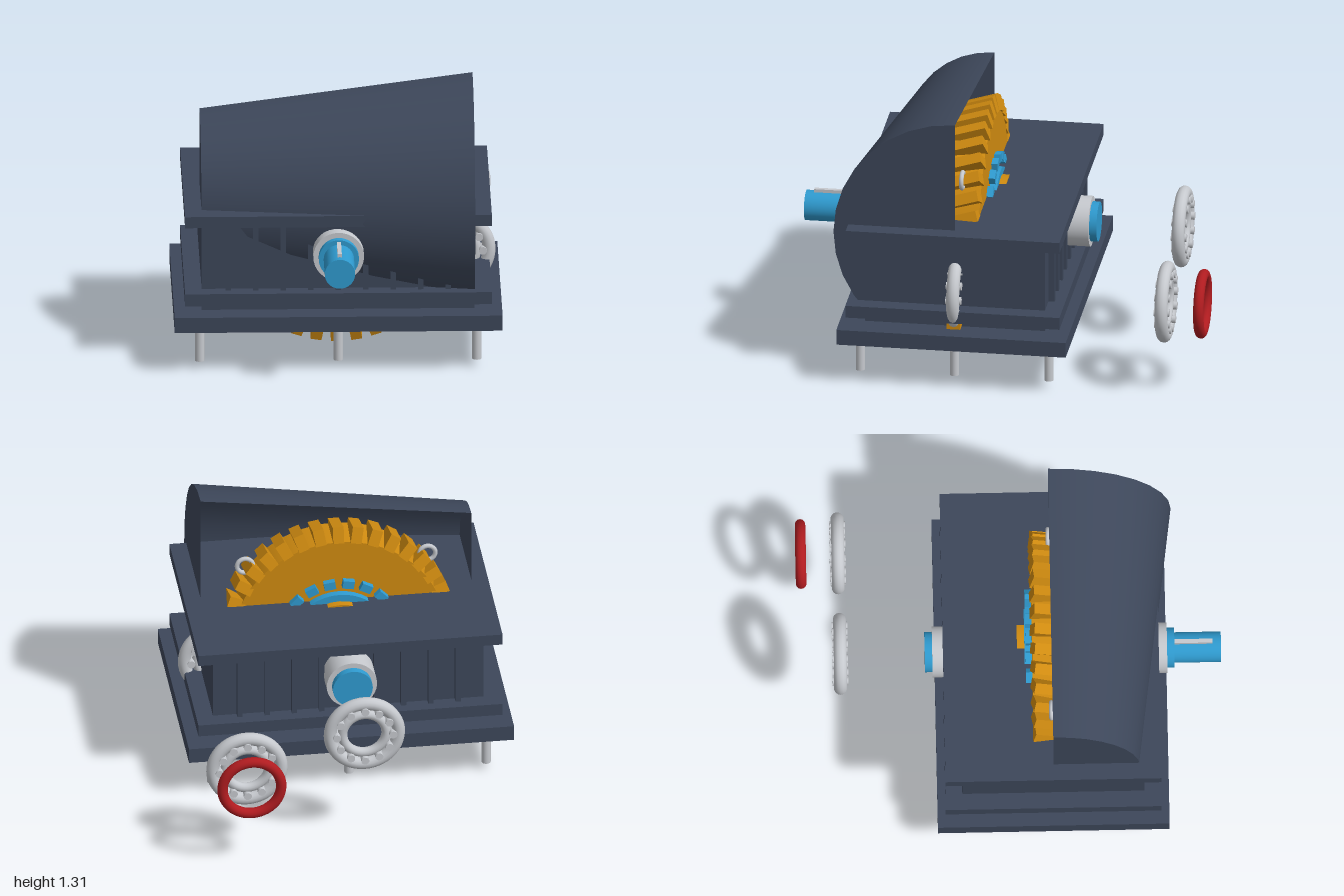
import * as THREE from 'three';

const mat = (name, color, extra = {}) => Object.assign(new THREE.MeshStandardMaterial({ color, ...extra }), { name });

export function createModel() {
  const housing = mat('slate housing', 0x3d475a, { side: THREE.DoubleSide });
  const steel = mat('bright steel', 0xc6c9ce);
  const blue = mat('blue shaft', 0x2f9bd0);
  const brass = mat('gear brass', 0xd08b10);
  const red = mat('red seal', 0xb01c20);

  const model = new THREE.Group();
  model.name = 'gearbox';
  const midZ = 0.195, shaftY = 0.58;

  const add = (name, geometry, material, x, y, z, parent = model) => {
    const mesh = new THREE.Mesh(geometry, material);
    mesh.name = name;
    mesh.position.set(x, y, z);
    parent.add(mesh);
    return mesh;
  };
  // Box given by its bottom and top heights
  const slab = (name, w, y0, y1, d, x = 0, z = midZ) =>
    add(name, new THREE.BoxGeometry(w, y1 - y0, d), housing, x, (y0 + y1) / 2, z);
  // Cylinder along z between two depths
  const rod = (name, r, z0, z1, material, x = 0, y = shaftY, parent = model, sides = 32) =>
    add(name, new THREE.CylinderGeometry(r, r, z1 - z0, sides).rotateX(Math.PI / 2), material, x, y, (z0 + z1) / 2, parent);

  // Housing
  slab('basePlate', 1.55, 0.205, 0.28, 1.095);
  slab('lowerFlange', 1.45, 0.325, 0.385, 1.02);
  slab('upperFlange', 1.45, 0.715, 0.77, 1.02);
  slab('housingBody', 1.29, 0.28, 0.715, 0.86);
  for (let i = -4; i <= 4; i++) {
    for (const side of [-1, 1]) slab('rib', 0.025, 0.305, 0.72, 0.04, i * 0.13, midZ + side * 0.44);
  }

  // Tapered half-round cover, open at the back
  add('cover', new THREE.CylinderGeometry(0.58, 0.41, 1.29, 16, 1, false, -Math.PI / 2, Math.PI)
    .rotateZ(-Math.PI / 2), housing, 0, 0.73, midZ);

  // Lifting eyes
  for (const side of [-1, 1]) {
    add('liftingEye', new THREE.TorusGeometry(0.038, 0.011, 10, 24), steel, side * 0.435, 0.94, midZ - 0.005);
  }

  // Large helical gear
  const gear = new THREE.Group();
  gear.name = 'gear';
  gear.position.set(0, shaftY, midZ);
  model.add(gear);
  rod('gearDisc', 0.505, -0.09, 0.09, brass, 0, 0, gear, 64);
  rod('gearHub', 0.2, -0.16, 0.1, brass, 0, 0, gear);
  const toothShape = new THREE.BoxGeometry(0.08, 0.052, 0.185);
  for (let i = 0; i < 36; i++) {
    const a = i * Math.PI / 18;
    const tooth = add('gearTooth', toothShape, brass, 0.515 * Math.cos(a), 0.515 * Math.sin(a), 0, gear);
    tooth.rotation.set(0.3, 0, a);
  }

  // Clutch ring with dog teeth on the back of the gear
  rod('clutchRing', 0.235, -0.125, -0.08, blue, 0, 0, gear, 40);
  const dogShape = new THREE.BoxGeometry(0.04, 0.055, 0.04);
  for (let i = 0; i < 20; i++) {
    const a = (i + 0.5) * Math.PI / 10;
    add('dogTooth', dogShape, blue, 0.285 * Math.cos(a), 0.285 * Math.sin(a), -0.1, gear).rotation.z = a;
  }

  // Shaft, collars and key
  rod('shaft', 0.095, -0.4, 0.78, blue);
  rod('outputShaft', 0.072, 0.77, 1, blue);
  rod('frontCollar', 0.12, 0.635, 0.745, steel);
  rod('backCollar', 0.12, -0.365, -0.23, steel);
  add('shaftKey', new THREE.BoxGeometry(0.02, 0.03, 0.2), steel, 0, 0.652, 0.86);

  // Roller bearings
  const bearing = (x, y, z) => {
    const group = new THREE.Group();
    group.name = 'bearing';
    group.position.set(x, y, z);
    model.add(group);
    add('outerRace', new THREE.TorusGeometry(0.163, 0.031, 14, 48), steel, 0, 0, 0, group);
    add('innerRace', new THREE.TorusGeometry(0.104, 0.023, 14, 40), steel, 0, 0, 0, group);
    for (let i = 0; i < 12; i++) {
      const a = i * Math.PI / 6;
      rod('roller', 0.019, -0.037, 0.037, steel, 0.134 * Math.cos(a), 0.134 * Math.sin(a), group, 14);
    }
  };
  bearing(0, shaftY, -0.8);
  bearing(0.56, 0.43, -0.8);
  bearing(0.56, 0.43, midZ);

  // Oil seal ring and brass block at the side bearing
  add('sealRing', new THREE.TorusGeometry(0.14, 0.025, 14, 48), red, 0.56, 0.43, -0.975);
  add('sideBlock', new THREE.BoxGeometry(0.06, 0.04, 0.066), brass, 0.67, 0.305, midZ);

  // Foundation bolts around the base
  for (const x of [-0.655, 0, 0.655]) {
    for (const z of [-0.45, 0, 0.45]) {
      if (x === 0 && z === 0) continue;
      add('boltShank', new THREE.CylinderGeometry(0.022, 0.022, 0.17, 16), steel, x, 0.12, midZ + z);
      add('boltWasher', new THREE.CylinderGeometry(0.053, 0.053, 0.01, 24), steel, x, 0.199, midZ + z);
    }
  }
  return model;
}
